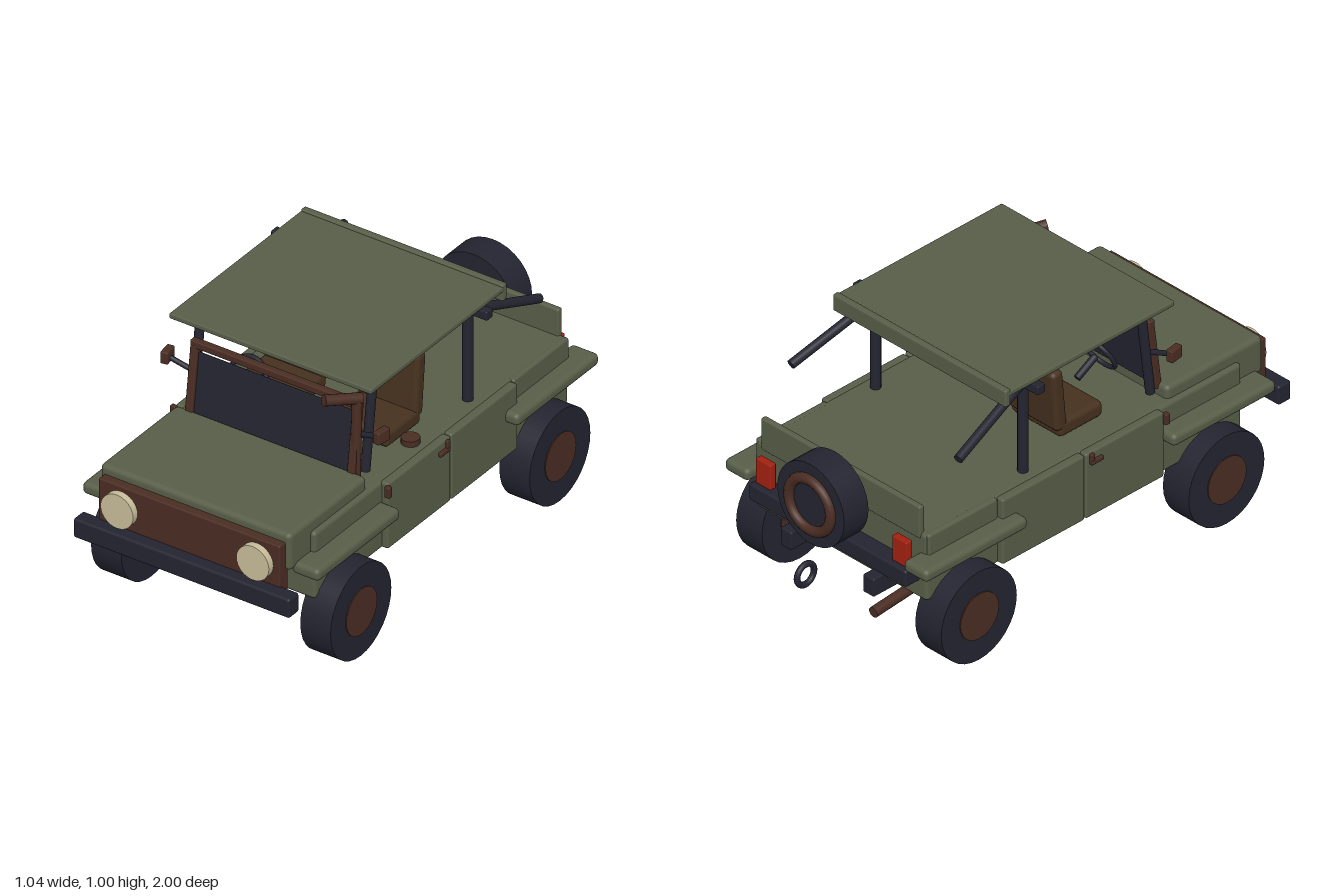
import * as THREE from 'three';
import { RoundedBoxGeometry } from 'three/addons/geometries/RoundedBoxGeometry.js';

const mat = (name, color) => {
  const m = new THREE.MeshStandardMaterial({ color });
  m.name = name;
  return m;
};

export function createModel() {
  const green = mat('olive paint', 0x585e48);
  const navy = mat('dark navy', 0x232430);
  const brown = mat('rust brown', 0x4a2d23);
  const seatBrown = mat('seat leather', 0x46311f);
  const cream = mat('lamp cream', 0xc8bd9b);
  const red = mat('tail red', 0xa32010);

  const model = new THREE.Group();
  model.name = 'offRoadCar';

  const add = (name, geo, material, parent = model) => {
    const mesh = new THREE.Mesh(geo, material);
    mesh.name = name;
    parent.add(mesh);
    return mesh;
  };

  // Box given by its limits on each axis, with softened edges
  const box = (name, material, [x0, x1], [y0, y1], [z0, z1], r = 0.008) => {
    const w = x1 - x0, h = y1 - y0, d = z1 - z0;
    const mesh = add(name, new RoundedBoxGeometry(w, h, d, 2, Math.min(r, w * 0.4, h * 0.4, d * 0.4)), material);
    mesh.position.set((x0 + x1) / 2, (y0 + y1) / 2, (z0 + z1) / 2);
    return mesh;
  };

  // Round bar between two points
  const bar = (name, material, a, b, r) => {
    const p = new THREE.Vector3(...a), q = new THREE.Vector3(...b);
    const dir = q.clone().sub(p);
    const mesh = add(name, new THREE.CylinderGeometry(r, r, dir.length(), 16), material);
    mesh.position.copy(p).add(q).multiplyScalar(0.5);
    mesh.quaternion.setFromUnitVectors(new THREE.Vector3(0, 1, 0), dir.normalize());
    return mesh;
  };

  const span = (s, a, b) => (s > 0 ? [a, b] : [-b, -a]);

  // Body, hood and nose
  box('bodyTub', green, [-0.43, 0.43], [0.285, 0.565], [-0.77, 0.79], 0.015);
  box('hood', green, [-0.41, 0.41], [0.46, 0.615], [0.44, 0.915], 0.02);
  box('grille', brown, [-0.39, 0.39], [0.365, 0.58], [0.9, 0.95], 0.006);
  box('frontBumper', navy, [-0.465, 0.465], [0.33, 0.41], [0.937, 1.0], 0.01);
  box('rearBumper', navy, [-0.395, 0.395], [0.36, 0.43], [-0.84, -0.765], 0.01);
  box('tailgate', green, [-0.4, 0.4], [0.54, 0.675], [-0.775, -0.75], 0.008);

  // Roof with raised rear lip
  box('roof', green, [-0.435, 0.435], [0.97, 0.992], [-0.365, 0.453], 0.006);
  box('roofLip', green, [-0.435, 0.435], [0.93, 1.0], [-0.385, -0.357], 0.008);

  // Windshield, leaning slightly back
  const rake = -0.13;
  const glass = box('windshieldGlass', navy, [-0.335, 0.335], [0.6, 0.845], [0.42, 0.43], 0.003);
  glass.rotation.x = rake;
  box('windshieldTopBar', brown, [-0.365, 0.365], [0.862, 0.892], [0.395, 0.425], 0.006);

  // Parts repeated on both sides
  for (const s of [1, -1]) {
    box('frontDoor', green, span(s, 0.42, 0.457), [0.29, 0.565], [-0.008, 0.38], 0.01);
    box('rearDoor', green, span(s, 0.42, 0.457), [0.29, 0.565], [-0.42, -0.012], 0.01);
    box('rearQuarter', green, span(s, 0.41, 0.437), [0.4, 0.567], [-0.765, -0.424], 0.01);
    box('frontFlare', green, span(s, 0.39, 0.51), [0.435, 0.485], [0.375, 0.885], 0.022);
    box('rearFlare', green, span(s, 0.39, 0.51), [0.435, 0.485], [-0.85, -0.343], 0.022);
    box('chassisRail', navy, span(s, 0.18, 0.235), [0.245, 0.32], [-0.84, 0.84], 0.006);

    box('doorHinge', brown, span(s, 0.45, 0.472), [0.515, 0.56], [0.375, 0.395], 0.004);
    box('doorHandle', brown, span(s, 0.45, 0.47), [0.515, 0.532], [0.01, 0.07], 0.004);
    box('handleMount', brown, span(s, 0.45, 0.468), [0.515, 0.56], [0.01, 0.027], 0.004);

    const post = box('windshieldPost', brown, span(s, 0.333, 0.364), [0.59, 0.885], [0.412, 0.442], 0.005);
    post.rotation.x = rake;

    bar('mirrorArm', navy, [s * 0.35, 0.755, 0.41], [s * 0.45, 0.787, 0.425], 0.01);
    const mirror = box('mirror', brown, span(s, 0.445, 0.475), [0.77, 0.82], [0.395, 0.455], 0.005);
    mirror.rotation.y = s * -0.15;

    // Roll cage
    bar('cageFrontPost', navy, [s * 0.37, 0.6, 0.395], [s * 0.37, 0.955, 0.35], 0.018);
    bar('cageSideBar', navy, [s * 0.37, 0.95, 0.365], [s * 0.37, 0.95, -0.25], 0.018);
    bar('cageRearPost', navy, [s * 0.37, 0.55, -0.235], [s * 0.37, 0.955, -0.235], 0.02);
    bar('cageBrace', navy, [s * 0.37, 0.94, -0.24], [s * 0.42, 0.81, -0.605], 0.018);

    // Seat with reclined back
    box('seatCushion', seatBrown, span(s, 0.075, 0.33), [0.57, 0.635], [-0.01, 0.205], 0.02);
    const back = box('seatBack', seatBrown, span(s, 0.075, 0.33), [0.6, 0.857], [-0.035, 0.02], 0.02);
    back.rotation.x = -0.09;

    const lamp = add('headlight', new THREE.CylinderGeometry(0.07, 0.07, 0.035, 32), cream);
    lamp.rotation.x = Math.PI / 2;
    lamp.position.set(s * 0.292, 0.49, 0.96);
    box('tailLight', red, span(s, 0.305, 0.38), [0.43, 0.535], [-0.82, -0.79], 0.005);

    // Wheels with hubs
    for (const z of [0.63, -0.595]) {
      const wheel = new THREE.Group();
      wheel.name = z > 0 ? 'frontWheel' : 'rearWheel';
      wheel.rotation.z = Math.PI / 2;
      wheel.position.set(s * 0.45, 0.187, z);
      add('tyre', new THREE.CylinderGeometry(0.187, 0.187, 0.13, 32), navy, wheel);
      add('hub', new THREE.CylinderGeometry(0.095, 0.095, 0.138, 24), brown, wheel);
      model.add(wheel);
    }
  }

  // Cage cross bars
  bar('cageFrontCrossBar', navy, [-0.37, 0.95, 0.352], [0.37, 0.95, 0.352], 0.018);
  box('cageRearCrossBar', navy, [-0.465, 0.465], [0.935, 0.972], [-0.255, -0.217], 0.005);

  // Snorkel intake
  bar('snorkelPipe', brown, [0.352, 0.59, 0.43], [0.352, 0.91, 0.42], 0.019);
  bar('snorkelHead', brown, [0.36, 0.905, 0.405], [0.285, 0.933, 0.53], 0.021);

  // Steering wheel and column
  const steering = add('steeringWheel', new THREE.TorusGeometry(0.077, 0.009, 10, 32), navy);
  steering.position.set(-0.2, 0.73, 0.305);
  steering.rotation.x = -0.49;
  bar('steeringColumn', navy, [-0.2, 0.72, 0.29], [-0.2, 0.67, 0.2], 0.014);

  // Filler cap on the deck
  const cap = add('fillerCap', new THREE.CylinderGeometry(0.035, 0.035, 0.025, 20), brown);
  cap.position.set(0.365, 0.575, 0.11);

  // Spare wheel
  const spare = add('spareTyre', new THREE.CylinderGeometry(0.168, 0.168, 0.12, 32), navy);
  spare.rotation.x = Math.PI / 2;
  spare.position.set(0, 0.567, -0.86);
  const rim = add('spareRim', new THREE.TorusGeometry(0.105, 0.021, 10, 32), brown);
  rim.position.set(0, 0.567, -0.924);
  box('spareMount', navy, [-0.06, 0.06], [0.5, 0.62], [-0.81, -0.765], 0.005);

  // Tow ring and exhaust
  const ring = add('towRing', new THREE.TorusGeometry(0.042, 0.012, 10, 24), navy);
  ring.rotation.y = Math.PI / 2;
  ring.position.set(0, 0.282, -0.946);
  bar('exhaustPipe', brown, [-0.26, 0.235, -0.55], [-0.26, 0.207, -0.867], 0.021);

  return model;
}
